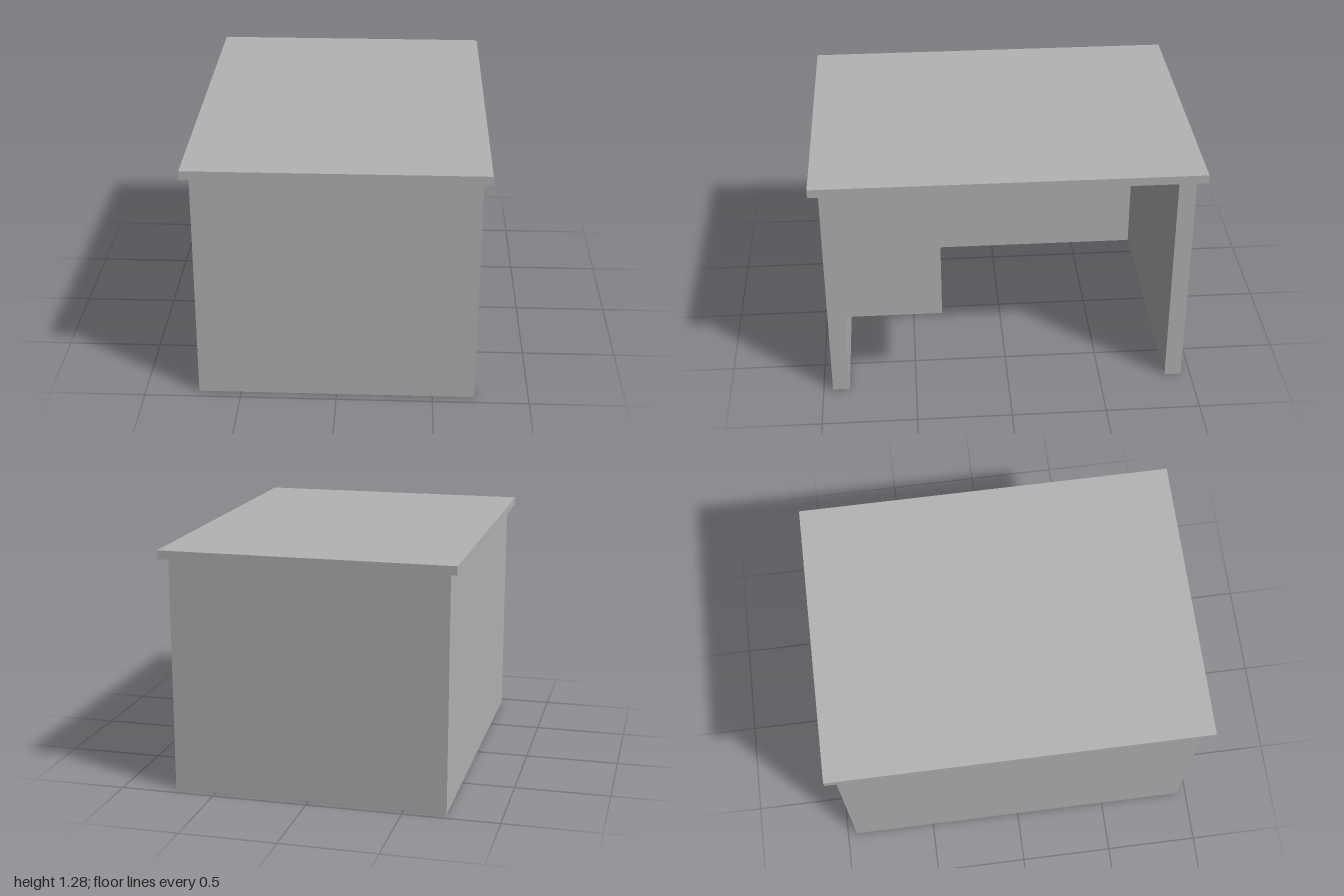
import * as THREE from 'three';

const TOP_Y = 1.24; // underside of the desk top

export function createModel() {
  const desk = new THREE.Group();
  desk.name = 'desk';
  const grey = new THREE.MeshStandardMaterial({ color: 0xb3b3b3 });
  grey.name = 'light grey';

  // Box given by its extents along each axis
  const slab = (name, [x0, x1], [y0, y1], [z0, z1]) => {
    const mesh = new THREE.Mesh(new THREE.BoxGeometry(x1 - x0, y1 - y0, z1 - z0), grey);
    mesh.name = name;
    mesh.position.set((x0 + x1) / 2, (y0 + y1) / 2, (z0 + z1) / 2);
    desk.add(mesh);
  };

  // Overhanging top
  slab('deskTop', [-0.76, 0.76], [TOP_Y, 1.285], [-1, 1]);

  // Two end panels joined by a full-height modesty panel
  slab('frontEndPanel', [-0.72, 0.72], [0, TOP_Y], [0.86, 0.95]);
  slab('backEndPanel', [-0.72, 0.72], [0, TOP_Y], [-0.95, -0.86]);
  slab('modestyPanel', [-0.72, -0.63], [0, TOP_Y], [-0.86, 0.86]);

  // Hanging drawer unit and the thin partition that carries it
  slab('drawerPartition', [-0.63, 0.72], [0.48, TOP_Y], [0.35, 0.385]);
  slab('drawerUnit', [0.14, 0.72], [0.48, TOP_Y], [0.385, 0.86]);

  // Small seven-sided peg on the inside of the back end panel
  const pegShape = new THREE.CylinderGeometry(0.0526, 0.0526, 0.035, 7);
  pegShape.rotateX(-Math.PI / 2);
  const pegMesh = new THREE.Mesh(pegShape.toNonIndexed(), grey);
  pegMesh.geometry.computeVertexNormals(); // faceted sides
  pegMesh.name = 'panelPeg';
  pegMesh.position.set(0, 0.992, -0.8425);
  desk.add(pegMesh);

  return desk;
}
